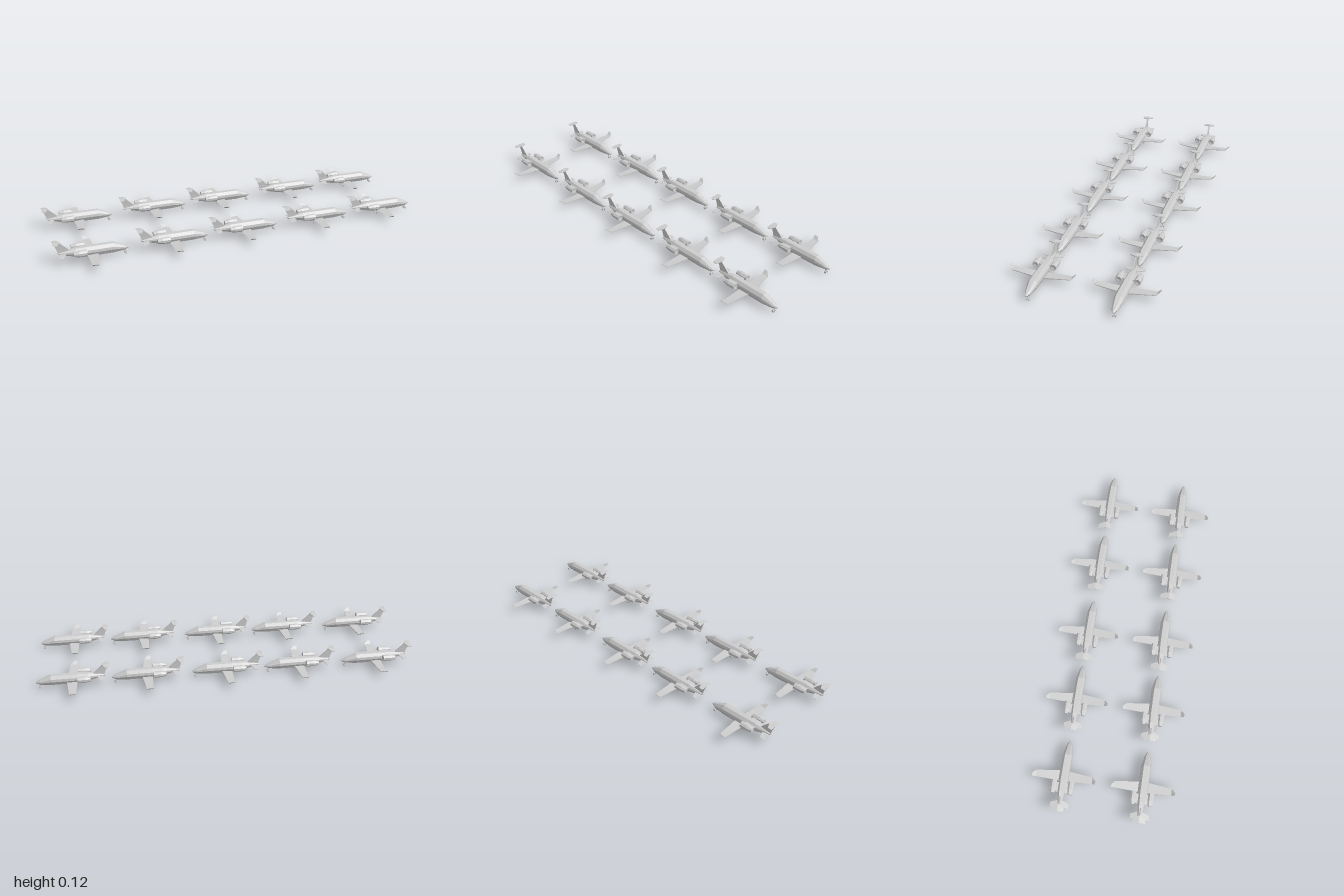
import * as THREE from 'three';

const paint = new THREE.MeshStandardMaterial({ color: 0xcccccc });
paint.name = 'light grey paint';

// Faceted normals for a low-poly look
function faceted(geometry) {
  const flat = geometry.index ? geometry.toNonIndexed() : geometry;
  flat.computeVertexNormals();
  return flat;
}

// Skin a list of equal-length convex rings of [x, y, z], with both ends closed
function loft(rings) {
  const n = rings[0].length, points = rings.flat(), faces = [];
  for (let r = 0; r < rings.length - 1; r++) {
    for (let i = 0; i < n; i++) {
      const a = r * n + i, b = r * n + (i + 1) % n;
      faces.push([a, b, b + n], [a, b + n, a + n]);
    }
  }
  const last = (rings.length - 1) * n;
  for (let i = 1; i < n - 1; i++) faces.push([0, i + 1, i], [last, last + i, last + i + 1]);

  // Turn the faces outward whichever way the rings run
  const v = points.map(p => new THREE.Vector3(...p));
  const volume = faces.reduce((sum, [a, b, c]) =>
    sum + v[a].clone().sub(v[0]).dot(v[b].clone().sub(v[0]).cross(v[c].clone().sub(v[0]))), 0);
  if (volume < 0) faces.forEach(f => f.reverse());

  const geometry = new THREE.BufferGeometry();
  geometry.setAttribute('position', new THREE.Float32BufferAttribute(points.flat(), 3));
  geometry.setIndex(faces.flat());
  return faceted(geometry);
}

// Level wedge section with a blunt leading edge; rear and front are x positions
const level = (rear, front, y, z, t) => [[rear, y, z], [front, y + t, z], [front, y - t, z]];
// The same section for an upright fin
const upright = (rear, front, y, t) => [[rear, y, 0], [front, y, t], [front, y, -t]];

function add(parent, name, geometry, x = 0, y = 0, z = 0) {
  const mesh = new THREE.Mesh(geometry, paint);
  mesh.name = name;
  mesh.position.set(x, y, z);
  parent.add(mesh);
  return mesh;
}

// One aircraft: tail at x = 0, nose at x = 0.378
function createJet() {
  const jet = new THREE.Group();

  // Fuselage stations: x, bottom, top, half width
  const stations = [
    [0.022, 0.05, 0.056, 0.005], [0.11, 0.03, 0.072, 0.021], [0.165, 0.023, 0.073, 0.026],
    [0.3, 0.022, 0.072, 0.026], [0.355, 0.024, 0.049, 0.015], [0.378, 0.031, 0.037, 0.004],
  ];
  // Eight-sided outline as [across, up]: narrow roof, upright sides, flat belly
  const outline = [[0.45, 1], [0.92, 0.4], [1, -0.15], [0.6, -1]];
  const half = outline.concat(outline.map(([a, u]) => [-a, u]).reverse());
  add(jet, 'fuselage', loft(stations.map(([x, bottom, top, w]) =>
    half.map(([a, u]) => [x, (bottom + top) / 2 + u * (top - bottom) / 2, a * w]))));

  // Swept fin
  add(jet, 'fin', loft([
    upright(0.025, 0.09, 0.055, 0.003), upright(0.019, 0.072, 0.077, 0.003),
    upright(0.002, 0.032, 0.116, 0.003),
  ]));

  const nacelle = faceted(new THREE.LatheGeometry([
    [0, 0], [0.011, 0], [0.0165, 0.026], [0.0165, 0.066], [0.013, 0.066], [0, 0.062],
  ].map(p => new THREE.Vector2(...p)), 8, Math.PI / 8));
  const tyre = faceted(new THREE.CylinderGeometry(0.0065, 0.0065, 0.006, 8).rotateX(Math.PI / 2));

  for (const s of [1, -1]) {
    const side = s < 0 ? 'left' : 'right';

    // Wing with an upturned tip
    add(jet, side + 'Wing', loft([
      level(0.164, 0.224, 0.03, 0, 0.003), level(0.166, 0.218, 0.0315, s * 0.03, 0.003),
      level(0.17, 0.204, 0.037, s * 0.148, 0.0015), level(0.168, 0.184, 0.051, s * 0.166, 0.0008),
    ]));

    // High tailplane and the small swept fins on the tail cone
    add(jet, side + 'Tailplane', loft([
      level(0.002, 0.037, 0.1155, 0, 0.002), level(0, 0.022, 0.1115, s * 0.032, 0.0015),
    ]));
    add(jet, side + 'TailConeFin', loft([
      level(0.035, 0.068, 0.052, 0, 0.0015), level(0.025, 0.05, 0.047, s * 0.048, 0.001),
    ]));

    // Engine on its pylon
    add(jet, side + 'Engine', nacelle, 0.096, 0.059, s * 0.0455).rotation.z = -Math.PI / 2;
    add(jet, side + 'Pylon', loft([
      level(0.1, 0.155, 0.059, s * 0.012, 0.004), level(0.105, 0.15, 0.059, s * 0.035, 0.004),
    ]));

    // Wheels and main legs
    add(jet, side + 'MainWheel', tyre, 0.176, 0.0065, s * 0.0165);
    add(jet, side + 'MainLeg', faceted(new THREE.BoxGeometry(0.004, 0.026, 0.003)), 0.176, 0.019, s * 0.012);
    add(jet, side + 'NoseWheel', tyre, 0.36, 0.0065, s * 0.006);
  }

  // Raked nose leg
  add(jet, 'noseLeg', faceted(new THREE.BoxGeometry(0.004, 0.024, 0.005)), 0.357, 0.017, 0)
    .rotation.z = 0.25;
  return jet;
}

export function createModel() {
  const model = new THREE.Group();
  model.name = 'parkedJets';
  const jet = createJet();

  // Two rows of five
  for (const z of [0.208, -0.208]) {
    [-1, -0.578, -0.188, 0.232, 0.622].forEach((x, i) => {
      const copy = jet.clone();
      copy.name = (z > 0 ? 'front' : 'back') + 'RowJet' + (i + 1);
      copy.position.set(x, 0, z);
      model.add(copy);
    });
  }
  return model;
}
